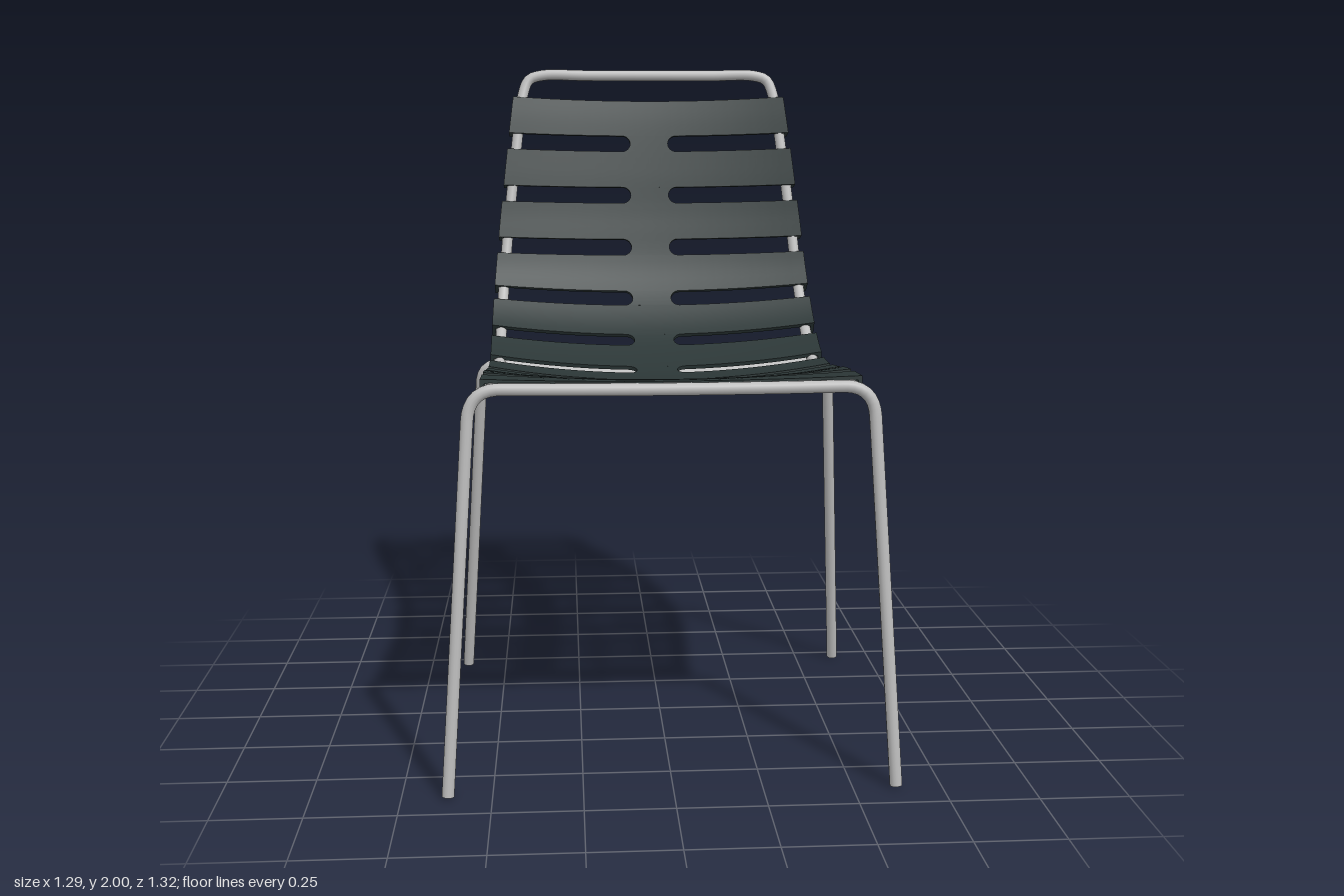
import * as THREE from 'three';
import { toCreasedNormals } from 'three/addons/utils/BufferGeometryUtils.js';

const steel = new THREE.MeshStandardMaterial({ color: 0xbdbdbd });
steel.name = 'brushed steel';
const slatColour = new THREE.MeshStandardMaterial({ color: 0x2b3636 });
slatColour.name = 'dark grey green';

const V = (x, y, z) => new THREE.Vector3(x, y, z);
const TUBE = 0.0175;

// Round tube with closed ends
function tube(name, curve, segments) {
  const group = new THREE.Group();
  group.name = name;
  group.add(new THREE.Mesh(new THREE.TubeGeometry(curve, segments, TUBE, 14), steel));
  for (const end of [0, 1]) {
    const cap = new THREE.Mesh(new THREE.CircleGeometry(TUBE, 14), steel);
    const out = curve.getTangentAt(end).multiplyScalar(end ? 1 : -1);
    cap.position.copy(curve.getPointAt(end));
    cap.quaternion.setFromUnitVectors(V(0, 0, 1), out);
    group.add(cap);
  }
  return group;
}

// Two legs joined by a sagging crossbar with rounded corners
function legLoop(name, foot, corner, radius, sag) {
  const mirror = (p) => V(-p.x, p.y, p.z);
  const dip = V(0, corner.y - 2 * sag, corner.z);
  const toward = (target) => target.clone().sub(corner).setLength(radius).add(corner);
  const a = toward(foot), b = toward(dip);
  const path = new THREE.CurvePath();
  path.add(new THREE.LineCurve3(foot, a));
  path.add(new THREE.QuadraticBezierCurve3(a, corner, b));
  path.add(new THREE.QuadraticBezierCurve3(b, dip, mirror(b)));
  path.add(new THREE.QuadraticBezierCurve3(mirror(b), mirror(corner), mirror(a)));
  path.add(new THREE.LineCurve3(mirror(a), mirror(foot)));
  return tube(name, path, 180);
}

// Side rail from the seat front up to the top bar, mirrored into one loop
const half = [
  [0.49, 1.124, 0.575], [0.49, 1.11, 0.33], [0.49, 1.088, 0.15], [0.49, 1.077, 0],
  [0.491, 1.083, -0.1], [0.491, 1.114, -0.195], [0.49, 1.2, -0.333], [0.483, 1.325, -0.437],
  [0.468, 1.5, -0.5], [0.449, 1.675, -0.545], [0.43, 1.84, -0.589], [0.417, 1.925, -0.617],
  [0.398, 1.968, -0.631], [0.355, 1.983, -0.636], [0.2, 1.983, -0.637],
].map((p) => V(...p));
const rail = new THREE.CatmullRomCurve3([...half, ...half.map((p) => V(-p.x, p.y, p.z)).reverse()]);
rail.arcLengthDivisions = 2000;
const railLength = rail.getLength();

// Frame of the seat surface at distance s along the rail
function station(s) {
  const p = rail.getPointAt(s / railLength);
  const t = rail.getTangentAt(s / railLength);
  const len = Math.hypot(t.y, t.z);
  return {
    p, ny: -t.z / len, nz: t.y / len, W: p.x + 0.028,
    bow: 0.01 + 0.036 * THREE.MathUtils.smoothstep(s, 0, 0.45),
  };
}

// Solid strip: each row gives matching outer and inner points as [x, height above rail]
function strip(name, distances, section) {
  const pos = [], index = [];
  let n = 0;
  for (const s of distances) {
    const f = station(s);
    const { outer, inner } = section(f, s);
    n = outer.length;
    for (const [x, h] of [...outer, ...[...inner].reverse()]) {
      const k = h - f.bow * (1 - (x / f.W) ** 2);
      pos.push(x, f.p.y + f.ny * k, f.p.z + f.nz * k);
    }
  }
  const size = 2 * n, rows = distances.length;
  const quad = (a, b, c, d) => index.push(a, b, c, a, c, d);
  for (let j = 0; j < rows - 1; j++) {
    for (let i = 0; i < size; i++) {
      const a = j * size + i, b = j * size + ((i + 1) % size);
      quad(a, b, b + size, a + size);
    }
  }
  const last = (rows - 1) * size;
  for (let i = 0; i < n - 1; i++) {
    const o = i, o1 = i + 1, k = size - 1 - i, k1 = size - 2 - i;
    quad(k, k1, o1, o);
    quad(last + o, last + o1, last + k1, last + k);
  }
  const geometry = new THREE.BufferGeometry();
  geometry.setAttribute('position', new THREE.Float32BufferAttribute(pos, 3));
  geometry.setIndex(index);
  const mesh = new THREE.Mesh(toCreasedNormals(geometry, 0.6), slatColour);
  mesh.name = name;
  return mesh;
}

const TOP = 0.027, UNDER = 0.015, LIP = -0.026, LIP_WIDTH = 0.011;
const span = (count, w, h) =>
  Array.from({ length: count + 1 }, (_, i) => [w * ((2 * i) / count - 1), h]);

// Slat: curved sheet with a lip turned down outside each rail
function slatSection({ W }) {
  const w = W - LIP_WIDTH;
  return {
    outer: [[-W, LIP], ...span(24, W, TOP), [W, LIP]],
    inner: [[-w, LIP], ...span(24, w, UNDER), [w, LIP]],
  };
}

export function createModel() {
  const model = new THREE.Group();
  model.name = 'slatted chair';

  // Steel frame
  model.add(tube('backAndSeatFrame', rail, 260));
  model.add(legLoop('frontLegs', V(0.622, 0.004, 0.643), V(0.548, 1.125, 0.574), 0.085, 0.004));
  model.add(legLoop('rearLegs', V(0.627, 0.004, -0.453), V(0.548, 1.085, -0.192), 0.07, 0.04));

  // Ten slats with narrow bridges between them forming the central spine
  const pitch = 0.1755, length = 0.122, first = 0.073;
  const gap = (pitch - length) / 2;
  for (let i = 0; i < 10; i++) {
    const centre = first + i * pitch;
    const rows = Array.from({ length: 7 }, (_, j) => centre + length * (j / 6 - 0.5));
    model.add(strip('slat' + (i + 1), rows, slatSection));
    if (i === 9) continue;

    // Bridge sides follow the rounded inner ends of the slots
    const middle = centre + pitch / 2;
    const slots = Array.from({ length: 13 }, (_, j) => middle - gap * Math.cos((Math.PI * j) / 12));
    model.add(strip('spineBridge' + (i + 1), slots, (f, s) => {
      const t = (s - middle) / gap;
      const w = 0.063 + gap * (1 - Math.sqrt(Math.max(0, 1 - t * t)));
      return { outer: span(6, w, TOP), inner: span(6, w, UNDER) };
    }));
  }
  return model;
}
